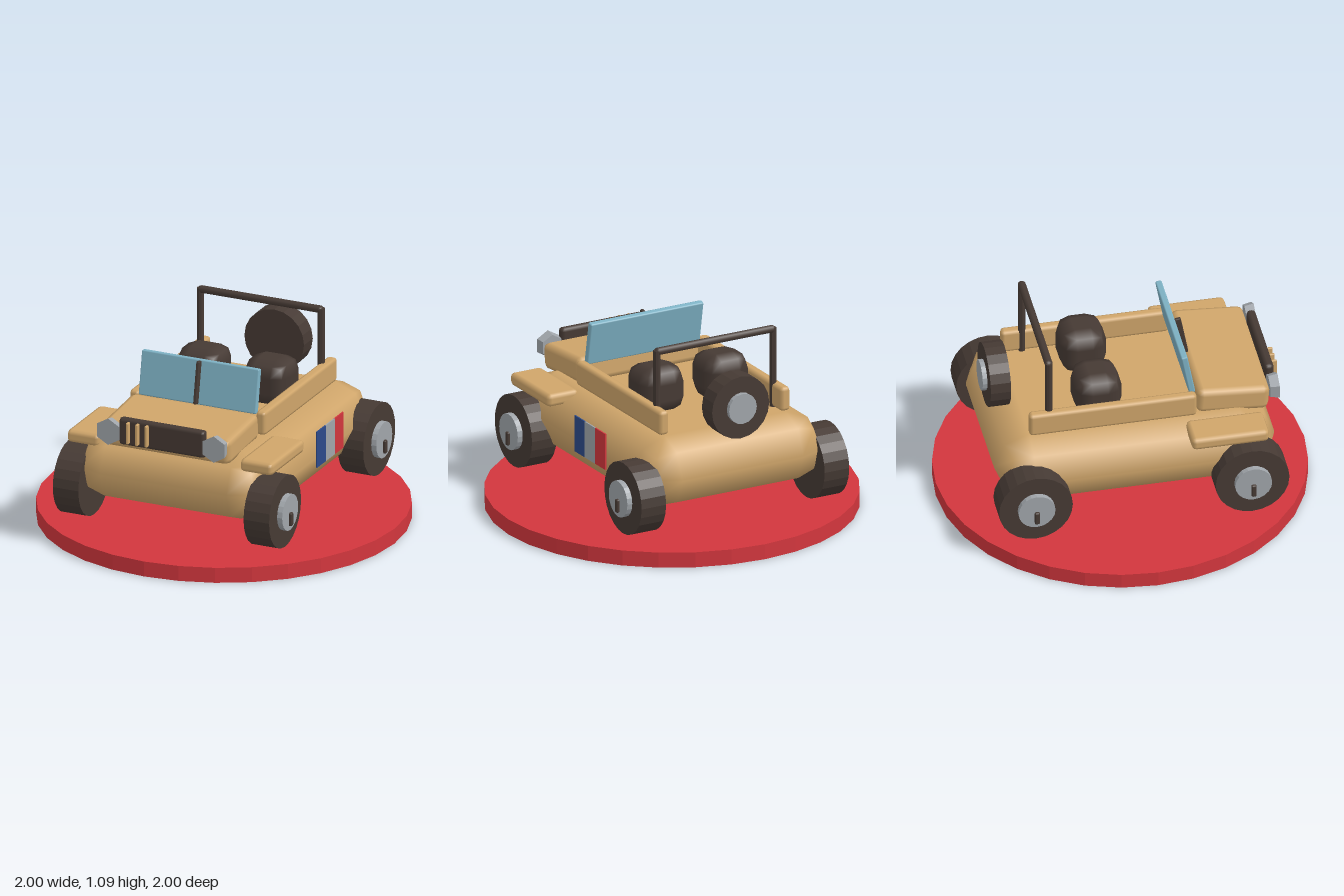
import * as THREE from 'three';
import { toCreasedNormals } from 'three/addons/utils/BufferGeometryUtils.js';
import { RoundedBoxGeometry } from 'three/addons/geometries/RoundedBoxGeometry.js';

const mat = (name, color) => {
  const m = new THREE.MeshStandardMaterial({ color });
  m.name = name;
  return m;
};

export function createModel() {
  const model = new THREE.Group();
  model.name = 'jeepOnStand';

  const tan = mat('tan', 0xcfa56a);
  const dark = mat('darkBrown', 0x463a34);
  const red = mat('red', 0xd2363d);
  const glass = mat('paleBlue', 0x7fb3c6);
  const grey = mat('grey', 0xa0a5aa);
  const navy = mat('navy', 0x2c4a8a);

  const add = (name, geo, material, x, y, z, parent = model) => {
    const mesh = new THREE.Mesh(geo, material);
    mesh.name = name;
    mesh.position.set(x, y, z);
    parent.add(mesh);
    return mesh;
  };
  // Box with a two-step rounded edge
  const rbox = (w, h, d, r) => new RoundedBoxGeometry(w, h, d, 1, r);
  // Faceted cylinder along the chosen axis
  const cyl = (rTop, rBottom, h, sides, axis = 'y') => {
    const g = new THREE.CylinderGeometry(rTop, rBottom, h, sides);
    if (axis === 'x') g.rotateZ(-Math.PI / 2);
    if (axis === 'z') g.rotateX(Math.PI / 2);
    return toCreasedNormals(g, 0.15);
  };

  // Stand
  add('stand', cyl(1, 1, 0.085, 32), red, 0, 0.0425, 0);

  // Body and hood
  add('body', rbox(1.12, 0.39, 1.52, 0.19), tan, 0, 0.435, 0);
  add('hood', rbox(0.75, 0.145, 0.395, 0.035), tan, 0, 0.678, 0.54).rotation.x = 0.08;

  // Windscreen leaning back, with a centre post in front
  const screen = new THREE.Group();
  screen.name = 'windscreen';
  screen.position.set(0, 0.865, 0.3);
  screen.rotation.x = -0.18;
  model.add(screen);
  add('glassPane', rbox(0.69, 0.245, 0.035, 0.008), glass, 0, 0, 0, screen);
  add('centrePost', rbox(0.02, 0.235, 0.035, 0.006), dark, 0, 0, 0.033, screen);

  // Grille with three slats on one side
  add('grille', rbox(0.505, 0.155, 0.05, 0.02), dark, 0, 0.71, 0.76);
  for (const x of [-0.19, -0.135, -0.08]) {
    add('grilleSlat', rbox(0.016, 0.122, 0.03, 0.006), tan, x, 0.713, 0.796);
  }

  for (const s of [1, -1]) {
    add('fender', rbox(0.192, 0.072, 0.42, 0.025), tan, s * 0.508, 0.59, 0.478);
    add('sideRail', rbox(0.058, 0.135, 0.91, 0.02), tan, s * 0.371, 0.698, -0.118);
    add('seat', rbox(0.27, 0.26, 0.255, 0.085), dark, s * 0.197, 0.75, -0.172);
    add('headlight', cyl(0.075, 0.065, 0.05, 6, 'z'), grey, s * 0.31, 0.7, 0.765);
    add('rollBarPost', cyl(0.02, 0.02, 0.46, 8), dark, s * 0.355, 0.845, -0.46);

    // Wheels with hub and valve
    for (const z of [0.588, -0.588]) {
      const wheel = new THREE.Group();
      wheel.name = z > 0 ? 'frontWheel' : 'rearWheel';
      wheel.position.set(s * 0.56, 0.33, z);
      model.add(wheel);
      add('tyre', cyl(0.2, 0.2, 0.15, 24, 'x'), dark, 0, 0, 0, wheel);
      add('hub', cyl(0.1, 0.1, 0.06, 20, 'x'), grey, s * 0.075, 0, 0, wheel);
      add('valve', rbox(0.03, 0.075, 0.028, 0.008), dark, s * 0.105, -0.037, 0, wheel);
    }
  }
  add('rollBarTop', rbox(0.735, 0.042, 0.044, 0.02), dark, 0, 1.068, -0.46);

  // Spare wheel on the back
  add('spareTyre', cyl(0.175, 0.175, 0.11, 20, 'z'), dark, 0, 0.775, -0.682);
  add('spareHub', cyl(0.085, 0.085, 0.04, 16, 'z'), grey, 0, 0.775, -0.742);

  // Three-colour flag panel on the left side
  [navy, grey, red].forEach((m, i) => {
    add('flagStripe', new THREE.BoxGeometry(0.008, 0.203, 0.11), m, 0.566, 0.48, -0.007 - i * 0.11);
  });

  return model;
}
